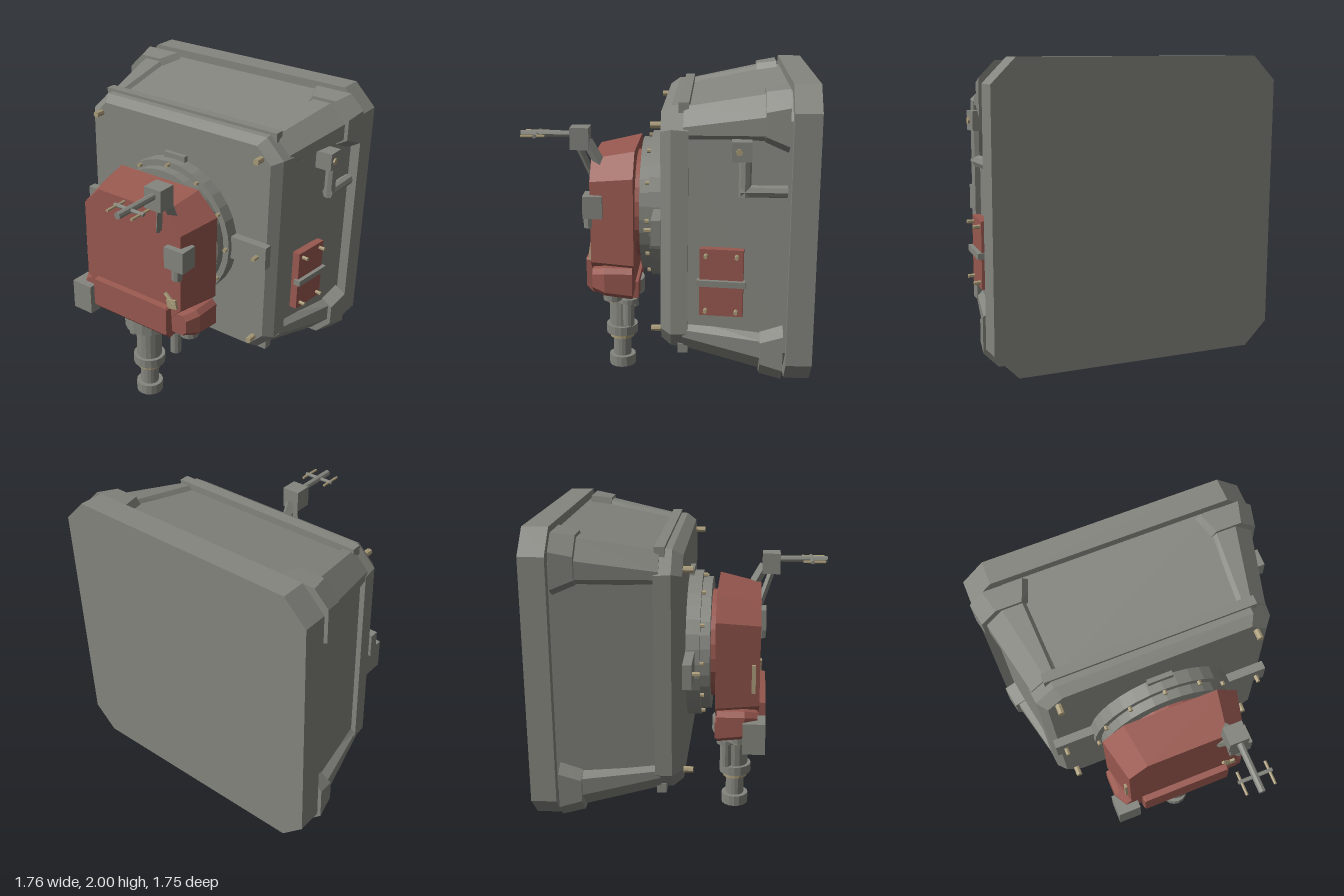
import * as THREE from 'three';

const CY = 1.13; // height of the housing axis
const grey = new THREE.MeshStandardMaterial({ color: 0x84857e });
const red = new THREE.MeshStandardMaterial({ color: 0x98584f });
const brass = new THREE.MeshStandardMaterial({ color: 0xa89a78 });
grey.name = 'grey metal'; red.name = 'red paint'; brass.name = 'brass';

export function createModel() {
  const root = new THREE.Group();
  root.name = 'sensorHousing';

  const add = (name, geo, mat, parent = root) => {
    const g = geo.index ? geo.toNonIndexed() : geo;
    g.computeVertexNormals();
    const m = new THREE.Mesh(g, mat);
    m.name = name;
    parent.add(m);
    return m;
  };
  // box from its extents
  const box = (name, mat, x0, x1, y0, y1, z0, z1, parent) => {
    const m = add(name, new THREE.BoxGeometry(x1 - x0, y1 - y0, z1 - z0), mat, parent);
    m.position.set((x0 + x1) / 2, (y0 + y1) / 2, (z0 + z1) / 2);
    return m;
  };
  // round rod between two points
  const rod = (name, mat, a, b, r, sides = 8, parent = root) => {
    const A = new THREE.Vector3(...a), B = new THREE.Vector3(...b);
    const m = add(name, new THREE.CylinderGeometry(r, r, A.distanceTo(B), sides), mat, parent);
    m.position.copy(A).add(B).multiplyScalar(0.5);
    m.quaternion.setFromUnitVectors(new THREE.Vector3(0, 1, 0), B.sub(A).normalize());
    return m;
  };
  // solid through convex outlines, each [z, points], from back to front
  const loft = (name, mat, sections) => {
    const pos = [], n = sections[0][1].length;
    const v = (s, i) => [...sections[s][1][i % n], sections[s][0]];
    const tri = (a, b, c) => pos.push(...a, ...b, ...c);
    for (let s = 0; s < sections.length - 1; s++) for (let i = 0; i < n; i++) {
      tri(v(s, i), v(s, i + 1), v(s + 1, i + 1));
      tri(v(s, i), v(s + 1, i + 1), v(s + 1, i));
    }
    const e = sections.length - 1;
    for (let i = 1; i < n - 1; i++) {
      tri(v(0, 0), v(0, i + 1), v(0, i));
      tri(v(e, 0), v(e, i), v(e, i + 1));
    }
    const g = new THREE.BufferGeometry();
    g.setAttribute('position', new THREE.Float32BufferAttribute(pos, 3));
    return add(name, g, mat);
  };
  // rectangle with cut corners
  const oct = (x, y0, y1, c, cb = c) => [
    [-x + cb, y0], [x - cb, y0], [x, y0 + cb], [x, y1 - c],
    [x - c, y1], [-x + c, y1], [-x, y1 - c], [-x, y0 + cb]];
  const sq = (hx, hy, c) => oct(hx, CY - hy, CY + hy, c);

  // Housing: back plate, tapered core, front lip
  loft('backPlate', grey, [[-0.88, sq(0.87, 0.87, 0.14)], [-0.73, sq(0.87, 0.87, 0.14)]]);
  loft('housingCore', grey, [[-0.74, sq(0.81, 0.82, 0.14)], [-0.12, sq(0.7, 0.7, 0.1)]]);
  loft('frontLip', grey, [[-0.16, sq(0.74, 0.735, 0.13)], [-0.06, sq(0.73, 0.73, 0.12)],
    [0, sq(0.68, 0.69, 0.1)]]);
  box('topRib', grey, -0.65, 0.65, 1.82, 1.88, -0.16, -0.1);
  box('bottomRib', grey, -0.65, 0.65, 0.37, 0.43, -0.16, -0.1);

  // Corner posts and their thicker rear brackets
  const corner = (sx, sy, ox, oy, r, c, k) => {
    const p = [[k, r - 0.06], [ox, r], [ox, oy - c], [ox - c, oy], [r, oy], [r - 0.06, k]]
      .map(([x, y]) => [sx * x, CY + sy * y]);
    return sx * sy < 0 ? p.reverse() : p;
  };
  for (const sx of [-1, 1]) for (const sy of [-1, 1]) {
    loft('cornerPost', grey, [
      [-0.6, corner(sx, sy, 0.835, 0.815, 0.6, 0.11, 0.75)],
      [-0.13, corner(sx, sy, 0.73, 0.725, 0.58, 0.1, 0.67)]]);
    loft('cornerBracket', grey, [
      [-0.71, corner(sx, sy, 0.88, 0.85, 0.55, 0.09, 0.78)],
      [-0.58, corner(sx, sy, 0.855, 0.83, 0.6, 0.1, 0.75)]]);
    rod('frontBolt', brass, [sx * 0.615, CY + sy * 0.617, -0.02], [sx * 0.615, CY + sy * 0.617, 0.06], 0.02);
  }

  // Round mounting flange with bolts and tabs
  rod('flangeBase', grey, [0, CY, -0.01], [0, CY, 0.085], 0.465, 32);
  rod('flangeStep', grey, [0, CY, 0.08], [0, CY, 0.145], 0.425, 32);
  for (let i = 0; i < 12; i++) {
    const a = i * Math.PI / 6, x = Math.cos(a) * 0.445, y = CY + Math.sin(a) * 0.445;
    rod('flangeBolt', brass, [x, y, 0.07], [x, y, 0.11], 0.013, 6);
  }
  box('topTab', grey, -0.08, 0.08, 1.56, 1.625, -0.01, 0.03);
  for (const s of [-1, 1]) {
    const [a, b] = [s * 0.42, s * 0.71].sort((p, q) => p - q);
    box('sideTab', grey, a, b, 1.06, 1.21, 0, 0.055);
    rod('tabBolt', brass, [s * 0.65, 1.135, 0.04], [s * 0.65, 1.135, 0.1], 0.014, 6);
  }

  // Red gearbox
  rod('neck', red, [0, CY, 0.13], [0, CY, 0.2], 0.345, 24);
  loft('gearbox', red, [[0.18, oct(0.44, 0.76, 1.525, 0.14, 0.08)],
    [0.45, oct(0.375, 0.78, 1.47, 0.12, 0.06)]]);
  loft('lowerWings', red, [[0.19, oct(0.455, 0.62, 0.82, 0.03)], [0.36, oct(0.455, 0.64, 0.82, 0.03)],
    [0.44, oct(0.41, 0.66, 0.8, 0.03)]]);
  loft('apron', red, [[0.2, oct(0.27, 0.6, 0.84, 0.02)], [0.45, oct(0.3, 0.61, 0.845, 0.01)],
    [0.49, oct(0.295, 0.65, 0.84, 0.01)]]);
  box('lowerLug', red, -0.22, 0.22, 0.55, 0.66, 0.17, 0.25);
  box('leftTrim', brass, -0.4, -0.385, 0.93, 1.11, 0.4, 0.425);
  box('sideBox', grey, 0.28, 0.42, 1.13, 1.27, 0.37, 0.49);
  rod('sideBoxPlug', grey, [0.355, 1.06, 0.46], [0.355, 1.14, 0.46], 0.032);
  box('lowerBox', grey, -0.48, -0.33, 0.56, 0.76, 0.35, 0.49);
  const key = box('latch', brass, 0.28, 0.35, 0.84, 0.9, 0.44, 0.465);
  key.rotation.z = 0.2;
  rod('latchArm', brass, [0.26, 0.93, 0.455], [0.33, 0.87, 0.455], 0.014, 6);

  // Sensor arm
  rod('armBlade', grey, [0.205, 1.33, 0.44], [0.28, 1.55, 0.52], 0.022, 4);
  rod('armStrut', grey, [0.27, 1.42, 0.38], [0.27, 1.58, 0.47], 0.035, 4);
  box('armHead', grey, 0.205, 0.325, 1.535, 1.67, 0.455, 0.57);
  rod('armRod', grey, [0.27, 1.625, 0.56], [0.27, 1.625, 0.875], 0.021);
  rod('crossBar', grey, [0.165, 1.625, 0.775], [0.375, 1.625, 0.775], 0.012);
  for (const x of [0.183, 0.357])
    rod('armPin', brass, [x, 1.625, 0.715], [x, 1.625, 0.86], 0.009, 6);

  // Lower column, stacked discs [y0, y1, radius]
  for (const [y0, y1, r, mat] of [[0, 0.07, 0.088, grey], [0.06, 0.205, 0.06, grey],
    [0.2, 0.23, 0.082, brass], [0.23, 0.29, 0.105, grey], [0.28, 0.54, 0.083, grey],
    [0.525, 0.62, 0.155, grey]])
    rod('column', mat, [0, y0, 0.3], [0, y1, 0.3], r, 16);
  for (const s of [-1, 1]) {
    rod('sidePlunger', grey, [s * 0.175, 0.345, 0.24], [s * 0.175, 0.57, 0.24], 0.036, 12);
    rod('plungerCollar', grey, [s * 0.175, 0.505, 0.24], [s * 0.175, 0.535, 0.24], 0.06, 12);
    rod('footDisc', grey, [s * 0.345, 0.59, 0.32], [s * 0.345, 0.63, 0.32], 0.06, 12);
    rod('footPin', brass, [s * 0.345, 0.575, 0.32], [s * 0.345, 0.6, 0.32], 0.035, 8);
  }

  // Access panel, facing +z of its own group
  const panel = (name) => {
    const g = new THREE.Group();
    g.name = name;
    box('panelPlate', red, -0.125, 0.125, -0.2, 0.2, -0.03, 0.02, g);
    box('panelBar', grey, -0.14, 0.14, -0.018, 0.018, 0, 0.045, g);
    for (const x of [-0.088, 0.088]) for (const y of [-0.165, 0.165])
      rod('panelBolt', brass, [x, y, 0], [x, y, 0.06], 0.012, 6, g);
    root.add(g);
    return g;
  };
  const side = panel('sidePanel');
  side.position.set(0.775, 0.87, -0.355);
  side.rotation.y = Math.PI / 2 - 0.1;
  const under = panel('undersidePanel');
  under.position.set(0, 0.375, -0.38);
  under.rotation.set(Math.PI / 2 + 0.19, 0, Math.PI / 2);

  // Diverging struts below the housing
  for (const s of [-1, 1]) {
    const strut = new THREE.Group();
    strut.name = 'undersideStrut';
    box('strutBar', grey, -0.04, 0.04, -0.035, 0.035, -0.2, 0.2, strut);
    strut.position.set(s * 0.27, 0.355, -0.39);
    strut.rotation.set(-0.19, -s * 0.4, 0, 'XYZ');
    root.add(strut);
  }

  // Side grab handle
  box('handleMount', grey, 0.74, 0.855, 1.59, 1.7, -0.51, -0.4);
  rod('handleBolt', brass, [0.84, 1.645, -0.44], [0.865, 1.645, -0.44], 0.02, 6);
  rod('handleDrop', grey, [0.82, 1.6, -0.475], [0.82, 1.39, -0.475], 0.035);
  rod('handleBar', grey, [0.82, 1.42, -0.45], [0.82, 1.42, -0.71], 0.035);

  return root;
}
